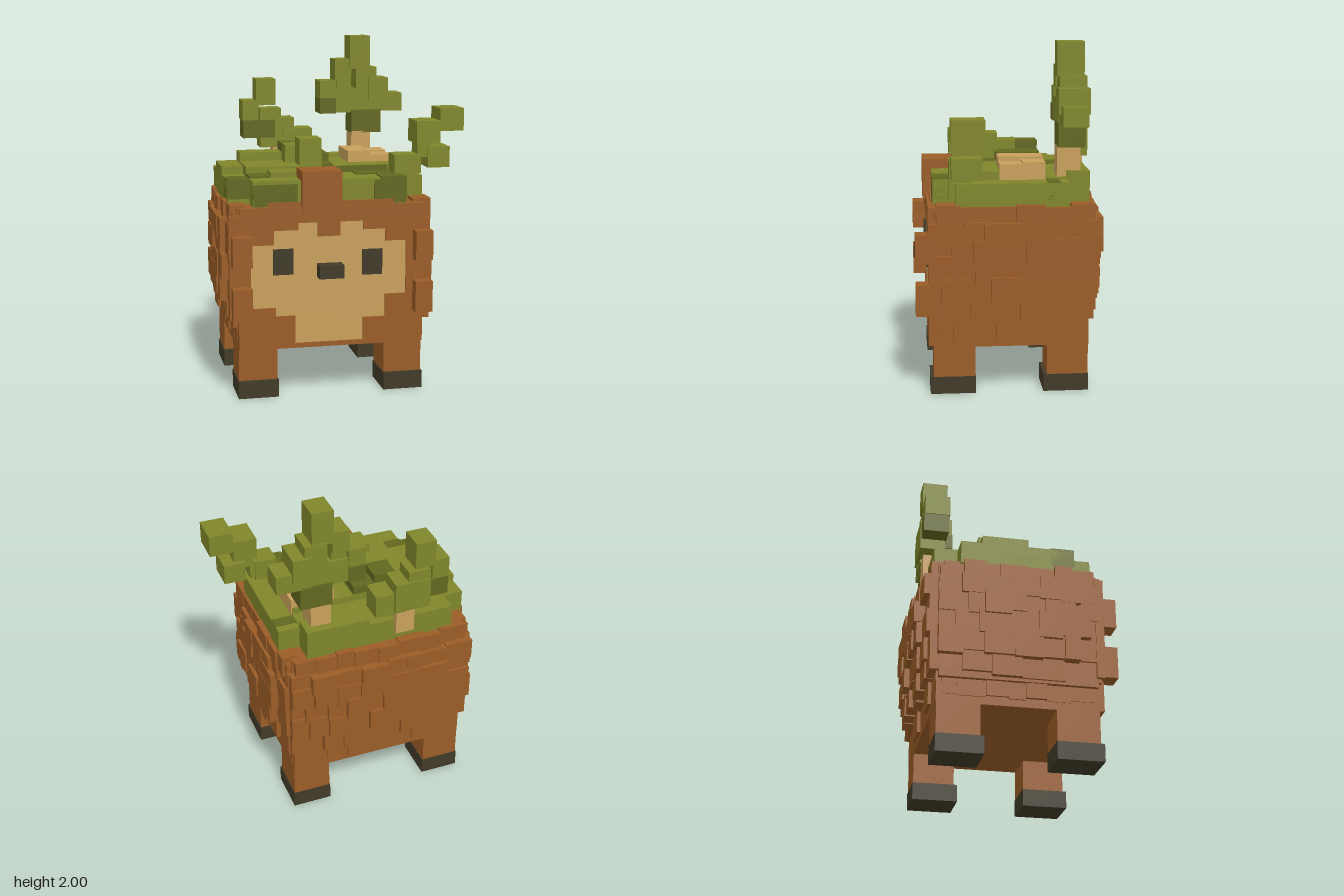
import * as THREE from 'three';

const mat = (name, color) => {
  const m = new THREE.MeshStandardMaterial({ color });
  m.name = name;
  return m;
};

export function createModel() {
  const brown = mat('brown fur', 0x9a5c27);
  const tan = mat('tan wood and face', 0xc8a05c);
  const dark = mat('dark hoof', 0x403a27);
  const green = mat('moss green', 0x7f862a);
  const shade = mat('deep moss green', 0x62671f);

  const model = new THREE.Group();
  model.name = 'mossBackCreature';
  const group = (name) => {
    const g = new THREE.Group();
    g.name = name;
    model.add(g);
    return g;
  };
  // Box given by its lower and upper limits on each axis
  const box = (parent, name, m, x0, x1, y0, y1, z0, z1) => {
    const b = new THREE.Mesh(new THREE.BoxGeometry(x1 - x0, y1 - y0, z1 - z0), m);
    b.position.set((x0 + x1) / 2, (y0 + y1) / 2, (z0 + z1) / 2);
    b.name = name;
    parent.add(b);
  };
  let seed = 11;
  const rand = () => (seed = (seed * 16807) % 2147483647) / 2147483647;

  // Body core
  const CX = -0.09;
  const body = group('body');
  box(body, 'belly', brown, -0.62, 0.44, 0.275, 1.09, -0.44, 0.45);
  box(body, 'midBody', brown, -0.65, 0.47, 0.41, 1.07, -0.43, 0.44);
  box(body, 'shoulders', brown, -0.45, 0.27, 1.0, 1.115, -0.4, 0.46);

  // Shingled fur: rows of blocks with uneven depth, bulging at mid height
  const rows = [0.33, 0.45, 0.56, 0.68, 0.8, 0.9, 1.0, 1.09];
  const bulgeByRow = [0.25, 0.8, 1.1, 1.15, 1.15, 1.1, 0.85];
  const shingles = (u0, u1, put) => {
    for (let r = 0; r < 7; r++) {
      const inset = r === 0 || r === 6 ? 0.03 : 0;
      const end = u1 - inset;
      let u = u0 + inset;
      while (u < end - 0.01) {
        let next = u + 0.08 + rand() * 0.09;
        if (next > end - 0.05) next = end;
        const t = (u + next - u0 - u1) / (u1 - u0);
        const swell = bulgeByRow[r] * (1 - 0.65 * t ** 4) - rand() * 0.4;
        put(u, next, rows[r] - rand() * 0.025, rows[r + 1] + rand() * 0.02, Math.min(1, Math.max(0.05, swell)));
        u = next;
      }
    }
  };
  for (const s of [-1, 1]) {
    const side = group(s > 0 ? 'leftFur' : 'rightFur');
    shingles(-0.44, 0.46, (a, b, y0, y1, d) => {
      const outer = CX + s * (0.53 + 0.09 * d), inner = CX + s * 0.48;
      box(side, 'sideShingle', brown, Math.min(inner, outer), Math.max(inner, outer), y0, y1, a, b);
    });
  }
  const back = group('backFur');
  shingles(-0.64, 0.46, (a, b, y0, y1, d) =>
    box(back, 'backShingle', brown, a, b, y0, y1, -0.435 - 0.115 * d, -0.38));

  // Face: stepped fur frame around a recessed tan plate
  const toShape = (pts, C = THREE.Shape) => new C(pts.map(([x, y]) => new THREE.Vector2(x, y)));
  const faceOutline = [
    [-0.55, 0.52], [-0.41, 0.52], [-0.41, 0.47], [-0.3, 0.47], [-0.3, 0.31], [0.09, 0.31], [0.09, 0.44],
    [0.22, 0.44], [0.22, 0.57], [0.34, 0.57], [0.34, 0.88], [0.22, 0.88], [0.22, 0.95], [0.09, 0.95],
    [0.09, 1.0], [-0.04, 1.0], [-0.04, 0.92], [-0.17, 0.92], [-0.17, 1.0], [-0.28, 1.0], [-0.28, 0.96],
    [-0.42, 0.96], [-0.42, 0.88], [-0.55, 0.88]];
  const frame = toShape([
    [-0.62, 0.285], [0.44, 0.285], [0.44, 0.42], [0.48, 0.42], [0.48, 1.0], [0.45, 1.0], [0.45, 1.09],
    [-0.61, 1.09], [-0.61, 1.05], [-0.67, 1.05], [-0.67, 0.46], [-0.62, 0.46]]);
  frame.holes.push(toShape(faceOutline, THREE.Path));
  const face = group('face');
  const addExtrude = (name, shape, m, z0, z1) => {
    const e = new THREE.Mesh(new THREE.ExtrudeGeometry(shape, { depth: z1 - z0, bevelEnabled: false }), m);
    e.position.z = z0;
    e.name = name;
    face.add(e);
  };
  addExtrude('faceFrame', frame, brown, 0.43, 0.477);
  addExtrude('facePlate', toShape(faceOutline), tan, 0.44, 0.468);
  box(face, 'rightEye', dark, -0.425, -0.31, 0.71, 0.855, 0.46, 0.484);
  box(face, 'leftEye', dark, 0.085, 0.2, 0.69, 0.835, 0.46, 0.484);
  box(face, 'nose', dark, -0.175, -0.035, 0.69, 0.765, 0.46, 0.55);
  for (const [y0, y1] of [[0.47, 0.65], [0.77, 0.94]]) {
    box(face, 'rightCheekTuft', brown, -0.66, -0.55, y0, y1, 0.44, 0.55);
    box(face, 'leftCheekTuft', brown, 0.38, 0.48, y0, y1, 0.44, 0.55);
  }
  box(face, 'foreheadTuft', brown, -0.26, -0.035, 1.05, 1.29, 0.31, 0.495);

  // Legs with dark hooves
  for (const [x, side] of [[-0.51, 'Right'], [0.33, 'Left']]) {
    for (const [z, end] of [[0.335, 'front'], [-0.315, 'back']]) {
      const leg = group(end + side + 'Leg');
      box(leg, 'leg', brown, x - 0.11, x + 0.11, 0.09, 0.4, z - 0.122, z + 0.115);
      box(leg, 'hoof', dark, x - 0.115, x + 0.115, 0, 0.1, z - 0.125, z + 0.135);
    }
  }

  // Moss: two crossed slabs with raised patches
  const moss = group('moss');
  box(moss, 'wideSlab', green, -0.655, 0.475, 1.09, 1.225, -0.32, 0.322);
  box(moss, 'longSlab', green, -0.53, 0.35, 1.09, 1.235, -0.45, 0.445);
  const patches = [
    [green, -0.655, -0.405, 1.27, -0.2, 0.06], [green, -0.53, -0.02, 1.28, -0.2, 0.19],
    [green, -0.53, -0.15, 1.33, -0.2, -0.07], [green, -0.41, -0.02, 1.265, 0.185, 0.32],
    [shade, -0.28, -0.15, 1.38, -0.2, -0.065], [shade, -0.15, -0.022, 1.33, -0.2, 0.06],
    [shade, -0.09, -0.022, 1.285, 0.06, 0.192], [green, -0.28, -0.15, 1.385, -0.067, 0.05],
    [green, -0.22, -0.09, 1.435, 0.045, 0.195], [green, -0.02, 0.35, 1.275, -0.2, 0.19],
    [green, -0.02, 0.35, 1.27, -0.45, -0.32], [green, 0.3, 0.43, 1.35, 0.22, 0.355],
    [shade, -0.53, -0.41, 1.245, 0.19, 0.32], [shade, -0.655, -0.53, 1.232, 0.19, 0.323],
    [shade, 0.2, 0.35, 1.242, 0.2, 0.447], [shade, 0.09, 0.2, 1.242, 0.192, 0.3],
    [shade, 0.35, 0.475, 1.23, -0.27, -0.2], [shade, -0.28, -0.15, 1.242, -0.33, -0.2]];
  for (const [m, x0, x1, top, z0, z1] of patches) box(moss, 'mossPatch', m, x0, x1, 1.12, top, z0, z1);
  box(moss, 'frontShadeRight', shade, -0.528, -0.28, 1.092, 1.215, 0.44, 0.448);
  box(moss, 'frontShadeLeft', shade, 0.16, 0.348, 1.092, 1.225, 0.44, 0.449);
  box(moss, 'stepShade', shade, -0.018, 0.3, 1.235, 1.273, 0.186, 0.194);
  box(moss, 'woodPatch', tan, 0.095, 0.23, 1.2, 1.34, -0.195, 0.065);
  box(moss, 'woodPatchFront', tan, 0.225, 0.354, 1.225, 1.315, -0.065, 0.065);
  box(moss, 'woodPatchBack', tan, 0.225, 0.354, 1.225, 1.325, -0.195, -0.065);

  // Tall tree
  const tall = group('tallTree');
  box(tall, 'trunk', tan, 0.19, 0.31, 1.2, 1.42, -0.4, -0.265);
  for (const [m, x0, x1, y0, y1, z0, z1] of [
    [shade, 0.19, 0.375, 1.41, 1.55, -0.42, -0.265], [green, -0.005, 0.095, 1.62, 1.73, -0.42, -0.27],
    [shade, -0.005, 0.095, 1.53, 1.625, -0.425, -0.265], [green, 0.08, 0.32, 1.535, 1.68, -0.415, -0.27],
    [green, 0.3, 0.42, 1.6, 1.745, -0.44, -0.26], [green, 0.31, 0.51, 1.54, 1.65, -0.42, -0.275],
    [green, 0.1, 0.19, 1.67, 1.73, -0.4, -0.28], [green, 0.09, 0.19, 1.73, 1.86, -0.42, -0.27],
    [green, 0.22, 0.35, 1.67, 1.81, -0.43, -0.275], [green, 0.18, 0.305, 1.8, 2.0, -0.42, -0.265]])
    box(tall, 'foliage', m, x0, x1, y0, y1, z0, z1);

  // Small tree at the back
  const small = group('smallTree');
  box(small, 'trunk', tan, -0.28, -0.17, 1.155, 1.39, -0.48, -0.37);
  for (const [m, x0, x1, y0, y1, z0, z1] of [
    [shade, -0.465, -0.27, 1.38, 1.49, -0.505, -0.36], [green, -0.47, -0.37, 1.49, 1.61, -0.5, -0.355],
    [green, -0.385, -0.265, 1.58, 1.74, -0.505, -0.36], [green, -0.36, -0.23, 1.48, 1.56, -0.5, -0.37],
    [green, -0.36, -0.15, 1.32, 1.5, -0.51, -0.365], [green, -0.22, -0.04, 1.3, 1.435, -0.49, -0.35]])
    box(small, 'foliage', m, x0, x1, y0, y1, z0, z1);

  // Branch reaching out over the left side
  const branch = group('sideBranch');
  for (const [x0, x1, y0, y1, z0, z1] of [
    [0.44, 0.52, 1.33, 1.42, 0.22, 0.34], [0.43, 0.57, 1.41, 1.54, 0.175, 0.36],
    [0.57, 0.71, 1.48, 1.61, 0.17, 0.355], [0.5, 0.63, 1.27, 1.39, 0.18, 0.35],
    [0.4, 0.46, 1.24, 1.35, 0.23, 0.345]])
    box(branch, 'foliage', green, x0, x1, y0, y1, z0, z1);

  return model;
}
